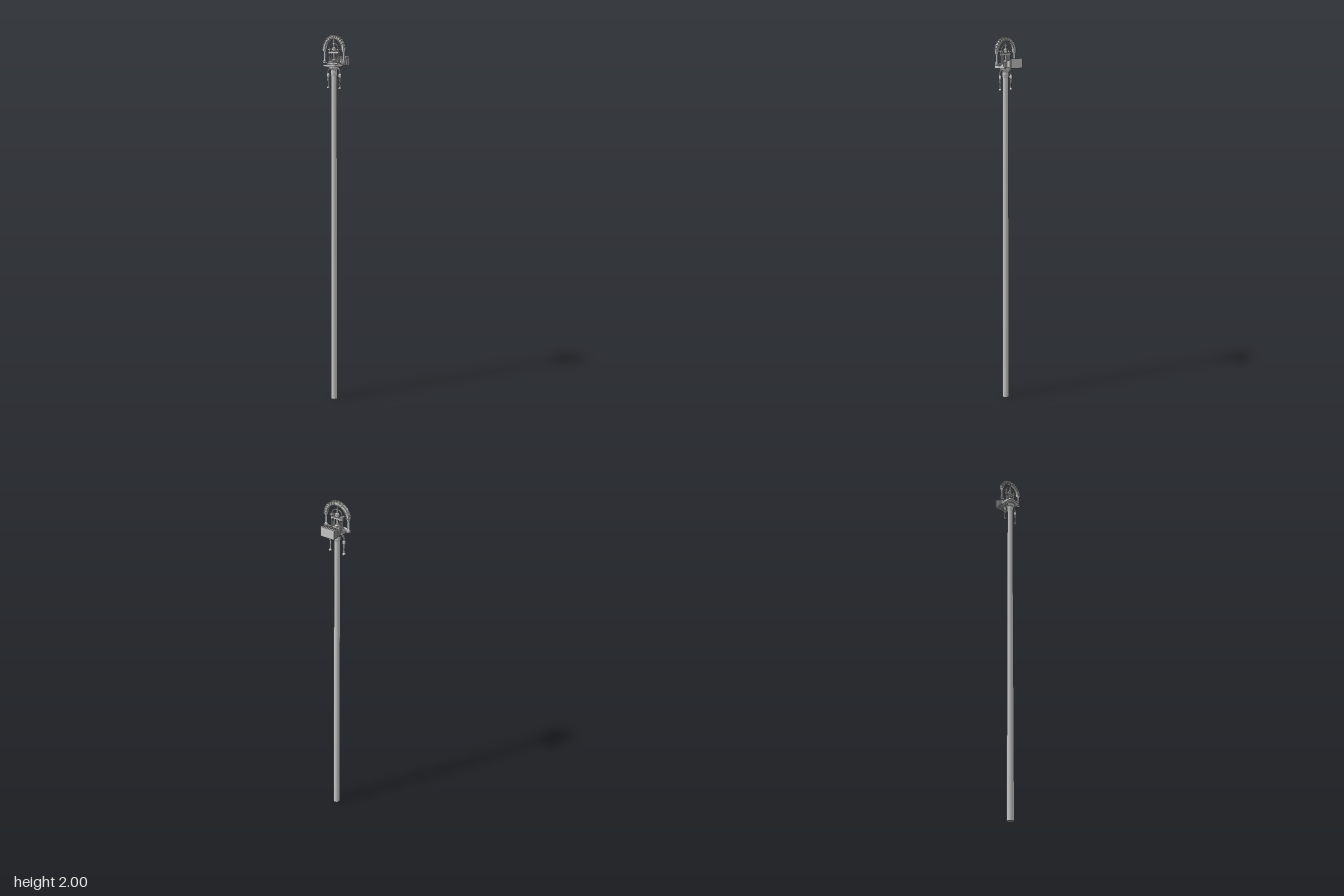
import * as THREE from 'three';

const ZC = 0.02; // depth of the staff axis

export function createModel() {
  const root = new THREE.Group();
  const mat = new THREE.MeshStandardMaterial({ color: 0xcccccc, side: THREE.DoubleSide });
  const flat = new THREE.MeshStandardMaterial({ color: 0xcccccc, flatShading: true, side: THREE.DoubleSide });

  function add(name, geo, x, y, z, m = flat) {
    const mesh = new THREE.Mesh(geo, m);
    mesh.name = name;
    mesh.position.set(x, y, z);
    root.add(mesh);
    return mesh;
  }
  const box = (name, w, h, d, x, y, z) => add(name, new THREE.BoxGeometry(w, h, d), x, y, z);
  const lathe = (pts, n = 12) => new THREE.LatheGeometry(pts.map(p => new THREE.Vector2(p[0], p[1])), n);

  // Slab with rounded plan corners, lying flat
  function roundedSlab(w, h, d, r) {
    const s = new THREE.Shape(), a = w / 2, b = d / 2;
    s.moveTo(-a + r, -b);
    s.lineTo(a - r, -b); s.quadraticCurveTo(a, -b, a, -b + r);
    s.lineTo(a, b - r); s.quadraticCurveTo(a, b, a - r, b);
    s.lineTo(-a + r, b); s.quadraticCurveTo(-a, b, -a, b - r);
    s.lineTo(-a, -b + r); s.quadraticCurveTo(-a, -b, -a + r, -b);
    const g = new THREE.ExtrudeGeometry(s, { depth: h, bevelEnabled: false, curveSegments: 4 });
    return g.rotateX(-Math.PI / 2).translate(0, -h / 2, 0);
  }

  // Long, slightly tapered staff
  add('staff', new THREE.CylinderGeometry(0.016, 0.0195, 1.83, 20), 0, 0.915, ZC, mat);
  add('staffCollar', lathe([[0.016, 1.79], [0.019, 1.805], [0.019, 1.82], [0.03, 1.834], [0.03, 1.84], [0, 1.84]], 16), 0, 0, ZC);

  // Arch: solid band, raised rims and radial ribs
  const cy = 1.925, r0 = 0.055, r1 = 0.071;
  const band = new THREE.Shape();
  band.absarc(0, 0, r1, 0, Math.PI, false);
  band.absarc(0, 0, r0, Math.PI, 0, true);
  add('archBand', new THREE.ExtrudeGeometry(band, { depth: 0.014, bevelEnabled: false, curveSegments: 12 }), 0, cy, ZC - 0.007);
  for (const z of [-0.008, 0.008])
    for (const r of [r0, r1])
      add('archRim', new THREE.TorusGeometry(r, 0.0025, 6, 24, Math.PI), 0, cy, ZC + z);
  for (let i = 0; i <= 14; i++) {
    const a = Math.PI * i / 14, r = 0.065;
    box('archRib', 0.019, 0.003, 0.021, Math.cos(a) * r, cy + Math.sin(a) * r, ZC).rotation.z = a;
  }

  // Columns under the arch, and the hanging legs, mirrored
  const column = lathe([[0, 0], [0.012, 0], [0.012, 0.008], [0.008, 0.013], [0.0065, 0.02], [0.0065, 0.054],
    [0.010, 0.062], [0.011, 0.07], [0, 0.07]]);
  const leg = lathe([[0, 0], [0.009, 0], [0.009, 0.006], [0.005, 0.012], [0.004, 0.03], [0.0055, 0.045],
    [0.005, 0.056], [0.009, 0.063], [0.009, 0.073], [0.006, 0.08], [0, 0.08]]);
  for (const s of [-1, 1]) {
    add('archColumn', column, s * 0.064, 1.855, ZC);
    box('columnBracket', 0.035, 0.006, 0.012, s * 0.049, 1.858, ZC);
    add('hangingLeg', leg, s * 0.04, 1.725, ZC);
    const bend = new THREE.CatmullRomCurve3([[0.04, 1.797], [0.041, 1.812], [0.034, 1.826], [0.018, 1.834]]
      .map(p => new THREE.Vector3(s * p[0], p[1], 0)));
    add('legBracket', new THREE.TubeGeometry(bend, 10, 0.0055, 8), 0, 0, ZC);
    // Small columns and lintel blocks inside the arch
    add('innerColumn', new THREE.CylinderGeometry(0.0045, 0.006, 0.068, 10), s * 0.029, 1.889, ZC);
    box('innerCapital', 0.018, 0.008, 0.018, s * 0.029, 1.925, ZC);
    add('innerPipe', new THREE.CylinderGeometry(0.0045, 0.0045, 0.06, 8), s * 0.015, 1.89, ZC);
  }

  // Centre of the head
  add('innerArch', new THREE.TorusGeometry(0.029, 0.004, 6, 14, Math.PI), 0, 1.927, ZC);
  box('innerLintel', 0.068, 0.01, 0.012, 0, 1.91, ZC);
  add('centreFinial', lathe([[0, 0], [0.012, 0], [0.012, 0.008], [0.006, 0.016], [0.006, 0.05], [0.012, 0.058],
    [0.012, 0.068], [0.005, 0.076], [0.004, 0.118], [0, 0.118]]), 0, 1.865, ZC);
  add('centrePlate', roundedSlab(0.036, 0.01, 0.062, 0.008), 0, 1.863, 0.021);

  // Front tray
  add('tray', roundedSlab(0.08, 0.012, 0.072, 0.008), 0, 1.845, 0.027);
  add('trayStep', roundedSlab(0.076, 0.01, 0.03, 0.005), 0, 1.855, ZC);

  // Pleated bellows widening toward the back
  const n = 6;
  for (let i = 0; i < n; i++) {
    const t = i / (n - 1), z = 0 - t * 0.0595, h = 0.022 + 0.028 * t;
    add('bellowsPleat', roundedSlab(0.08, h, 0.010, 0.003), 0, 1.858 + 0.009 * t, z);
    if (i < n - 1) box('bellowsFold', 0.074, h - 0.004, 0.004, 0, 1.858 + 0.009 * t, z - 0.006);
  }
  return root;
}
